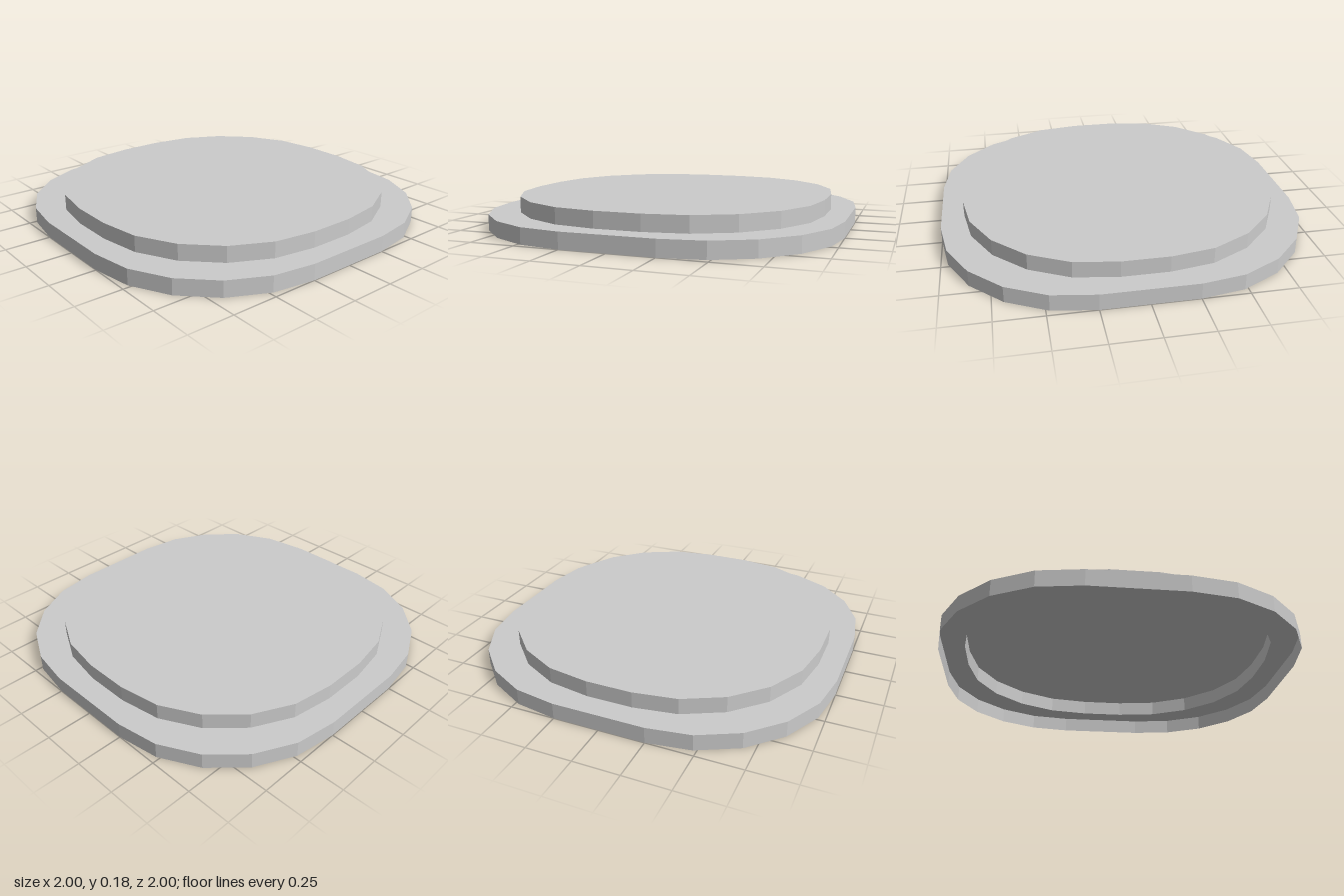
import * as THREE from 'three';

const STEP = 0.088;      // height of each tier
const CORNER = 0.75;     // corner radius shared by both tiers
const SEGMENTS = 5;      // flat facets per corner

// Rounded-square outline at height y, running from +x towards +z
function outline(half, y) {
  const inset = half - CORNER;
  const points = [];
  for (let corner = 0; corner < 4; corner++) {
    const cx = corner === 0 || corner === 3 ? inset : -inset;
    const cz = corner < 2 ? inset : -inset;
    for (let i = 0; i <= SEGMENTS; i++) {
      const a = (corner + i / SEGMENTS) * Math.PI / 2;
      points.push(new THREE.Vector3(cx + CORNER * Math.cos(a), y, cz + CORNER * Math.sin(a)));
    }
  }
  return points;
}

// Faceted band joining two outlines, or a fan to a single centre point
function skin(from, to) {
  const tris = [];
  from.forEach((a0, i) => {
    const j = (i + 1) % from.length;
    if (to.length === 1) tris.push(a0, to[0], from[j]);
    else tris.push(a0, to[i], from[j], to[i], to[j], from[j]);
  });
  const geometry = new THREE.BufferGeometry().setFromPoints(tris);
  geometry.computeVertexNormals();
  return geometry;
}

export function createModel() {
  const model = new THREE.Group();
  model.name = 'steppedPlatform';
  const material = new THREE.MeshStandardMaterial({
    color: 0xcccccc, flatShading: true, side: THREE.DoubleSide,
  });
  const add = (name, from, to) => {
    const mesh = new THREE.Mesh(skin(from, to), material);
    mesh.name = name;
    model.add(mesh);
  };

  const baseBottom = outline(1, 0);
  const baseTop = outline(1, STEP);
  const upperBottom = outline(0.875, STEP);
  const upperTop = outline(0.875, STEP * 2);

  // Thin shell, open underneath
  add('baseWall', baseBottom, baseTop);
  add('ledge', baseTop, upperBottom);
  add('upperWall', upperBottom, upperTop);
  add('topSurface', upperTop, [new THREE.Vector3(0, STEP * 2, 0)]);

  return model;
}
